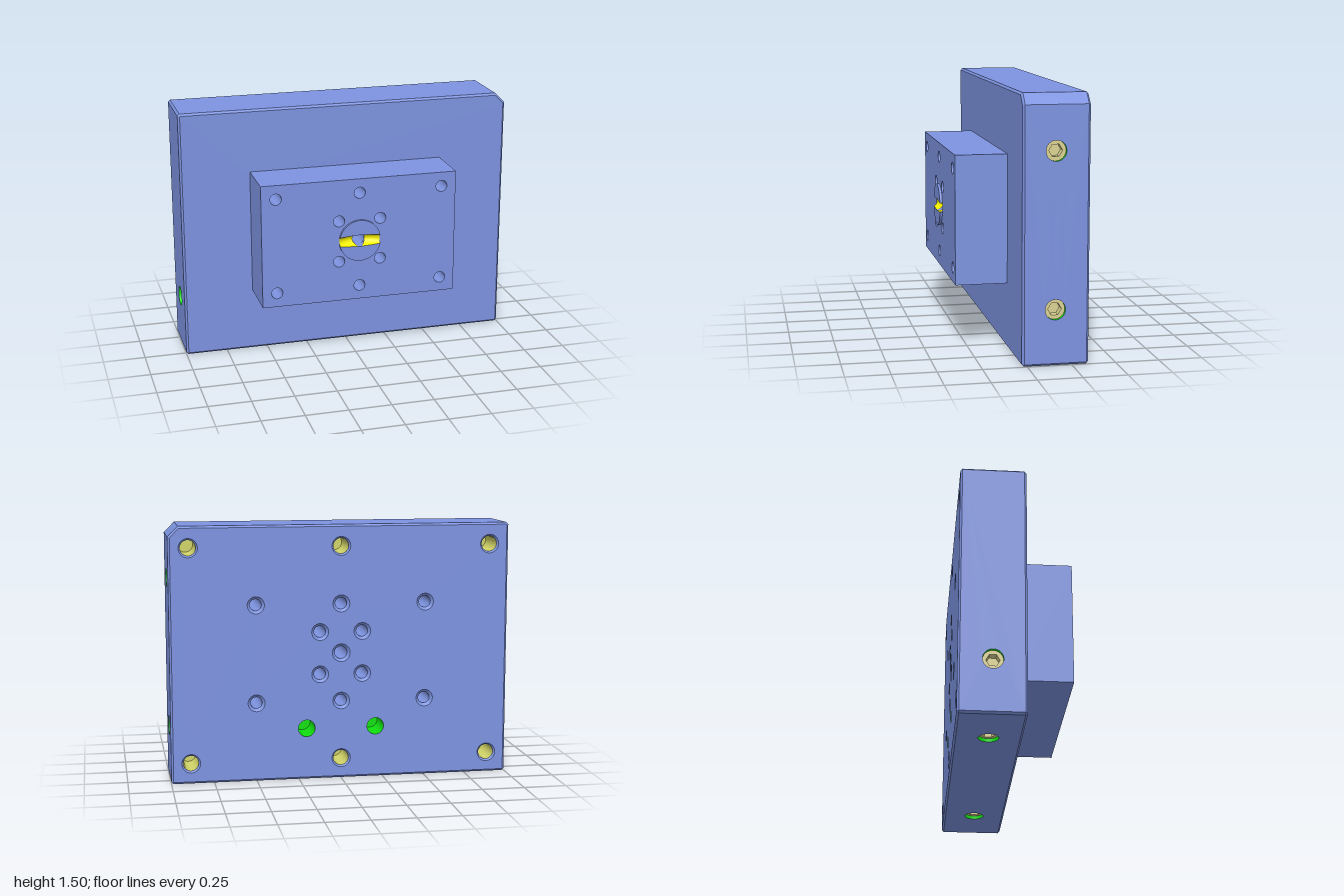
import * as THREE from 'three';
import { ParametricGeometry } from 'three/addons/geometries/ParametricGeometry.js';

const mat = (color, flatShading = false) =>
  new THREE.MeshStandardMaterial({ color, flatShading, side: THREE.DoubleSide });
const blue = mat(0x7d93e0), green = mat(0x10e010), yellow = mat(0xf5f000);
const olive = mat(0xd2d468), brass = mat(0xdcd392);

const BACK = -0.345, FRONT = 0.03, FACE = 0.33, TOP = 0.345; // z levels
const BEVEL = 0.012, CY = 0.75, MIDZ = -0.155;
const BORE = 0.034, CENTRE = 0.037, PLUG = 0.057;

const mesh = (name, geometry, material) => {
  const m = new THREE.Mesh(geometry, material);
  m.name = name;
  return m;
};
const circle = (x, y, r) => new THREE.Path().absarc(x, y, r, 0, Math.PI * 2, true);

// Cylinder wall along z, r0 at z0 and r1 at z1
function tube(name, x, y, z0, z1, r0, r1, material) {
  const g = new THREE.CylinderGeometry(r1, r0, z1 - z0, 32, 1, true).rotateX(Math.PI / 2);
  g.translate(x, y, (z0 + z1) / 2);
  return mesh(name, g, material);
}
function disc(name, x, y, z, r, material) {
  return mesh(name, new THREE.CircleGeometry(r, 32).translate(x, y, z), material);
}

// Plate outline, counterclockwise, with one large corner chamfer
function outline(inset) {
  const w = 1 - inset, b = inset, t = 1.5 - inset;
  const s = BEVEL - 0.586 * inset, c = 0.06 - 0.586 * inset;
  return [[-w + s, b], [w - s, b], [w, b + s], [w, t - c], [w - c, t], [-w + s, t], [-w, t - s], [-w, b + s]]
    .map(([x, y]) => new THREE.Vector2(x, y));
}

// Strip of quads joining two outlines
function strip(p, z0, q, z1) {
  const v = [];
  p.forEach((a, i) => {
    const j = (i + 1) % p.length, b = p[j], c = q[j], d = q[i];
    v.push(a.x, a.y, z0, b.x, b.y, z0, c.x, c.y, z1, a.x, a.y, z0, c.x, c.y, z1, d.x, d.y, z1);
  });
  const g = new THREE.BufferGeometry();
  g.setAttribute('position', new THREE.Float32BufferAttribute(v, 3));
  g.computeVertexNormals();
  return g;
}

// Groove half width, and its edge widened by the centre bore
const half = (x) => 0.034 - 0.5 * x * x;
const END = 0.122;
function grooveEdge() {
  return Array.from({ length: 61 }, (_, i) => {
    const x = END * (i / 30 - 1);
    return new THREE.Vector2(x, Math.max(half(x), Math.sqrt(Math.max(0, CENTRE ** 2 - x * x))));
  });
}

// Recessed plug with a hex socket, facing +z at its local origin
function makePlug() {
  const g = new THREE.Group();
  g.name = 'plug';
  const head = new THREE.Shape().absarc(0, 0, PLUG, 0, Math.PI * 2);
  const hex = Array.from({ length: 6 }, (_, i) => {
    const a = -i * Math.PI / 3 + Math.PI / 6;
    return new THREE.Vector2(0.038 * Math.cos(a), 0.038 * Math.sin(a));
  });
  head.holes.push(new THREE.Path(hex));
  g.add(
    tube('plugBore', 0, 0, -0.1, 0, PLUG, PLUG, green),
    mesh('plugHead', new THREE.ExtrudeGeometry(head, { depth: 0.05, bevelEnabled: false, curveSegments: 24 })
      .translate(0, 0, -0.07), brass),
    disc('plugSocketFloor', 0, 0, -0.068, PLUG * 0.98, brass));
  return g;
}

export function createModel() {
  const model = new THREE.Group();
  model.name = 'mouldPlate';

  // Hole layouts
  const through = [];
  for (const x of [-0.5, 0, 0.5]) for (const y of [0.465, 1.04]) through.push([x, y]);
  for (const x of [-0.125, 0.125]) for (const y of [-0.125, 0.125]) through.push([x, CY + y]);
  const mounts = [];
  for (const x of [-0.885, 0, 0.885]) for (const y of [0.12, 1.375]) mounts.push([x, y]);
  const ports = [[-0.205, 0.305], [0.205, 0.305]];

  // Plate front and back faces
  const plate = new THREE.Group();
  plate.name = 'plate';
  model.add(plate);
  const frontShape = new THREE.Shape(outline(BEVEL));
  const backShape = new THREE.Shape(outline(BEVEL));
  for (const [x, y] of through) {
    frontShape.holes.push(circle(x, y, BORE));
    backShape.holes.push(circle(x, y, 0.05));
  }
  frontShape.holes.push(circle(0, CY, CENTRE));
  backShape.holes.push(circle(0, CY, 0.053));
  for (const [x, y] of mounts) backShape.holes.push(circle(x, y, 0.055));
  for (const [x, y] of ports) backShape.holes.push(circle(x, y, 0.05));
  plate.add(
    mesh('plateFront', new THREE.ShapeGeometry(frontShape, 16).translate(0, 0, FRONT), blue),
    mesh('plateBack', new THREE.ShapeGeometry(backShape, 16).translate(0, 0, BACK), blue));

  // Bevelled rims
  const outer = outline(0), inner = outline(BEVEL);
  plate.add(
    mesh('backBevel', strip(inner, BACK, outer, BACK + BEVEL), blue),
    mesh('frontBevel', strip(outer, FRONT - BEVEL, inner, FRONT), blue));

  // Edge panels, with plugs on the bottom (0) and both sides (2, 6)
  const plugSpots = {
    0: [[-0.655, 0], [0.655, 0]],
    2: [[1, 0.315], [1, 1.19]],
    6: [[-1, 0.315]],
  };
  outer.forEach((a, i) => {
    const b = outer[(i + 1) % outer.length];
    const d = b.clone().sub(a), len = d.length();
    d.normalize();
    const basis = new THREE.Matrix4().makeBasis(
      new THREE.Vector3(d.x, d.y, 0), new THREE.Vector3(0, 0, 1), new THREE.Vector3(d.y, -d.x, 0));
    const z0 = BACK + BEVEL, z1 = FRONT - BEVEL;
    const panel = new THREE.Shape([[0, z0], [len, z0], [len, z1], [0, z1]].map((p) => new THREE.Vector2(...p)));
    for (const [x, y] of plugSpots[i] || []) {
      panel.holes.push(circle((x - a.x) * d.x + (y - a.y) * d.y, MIDZ, PLUG));
      const plug = makePlug();
      plug.quaternion.setFromRotationMatrix(basis);
      plug.position.set(x, y, MIDZ);
      model.add(plug);
    }
    const side = new THREE.ShapeGeometry(panel, 16).applyMatrix4(basis).translate(a.x, a.y, 0);
    plate.add(mesh('plateEdge', side, blue));
  });

  // Bores: countersunk through holes, blind mounting holes, coolant ports
  const bores = new THREE.Group();
  bores.name = 'bores';
  model.add(bores);
  const sink = BACK + 0.015;
  for (const [x, y] of through) {
    bores.add(
      tube('countersink', x, y, BACK, sink, 0.05, BORE, blue),
      tube('throughBore', x, y, sink, FRONT, BORE, BORE, blue));
  }
  bores.add(
    tube('centreCountersink', 0, CY, BACK, sink, 0.053, CENTRE, blue),
    tube('centreBore', 0, CY, sink, 0.297, CENTRE, CENTRE, blue));
  for (const [x, y] of mounts) {
    bores.add(
      tube('mountCountersink', x, y, BACK, BACK + 0.012, 0.055, 0.045, blue),
      tube('mountBore', x, y, BACK + 0.012, -0.1, 0.045, 0.045, olive),
      disc('mountBoreEnd', x, y, -0.1, 0.045, olive));
  }
  for (const [x, y] of ports) {
    bores.add(
      tube('coolantPort', x, y, BACK, MIDZ, 0.05, 0.05, green),
      disc('coolantPortEnd', x, y, MIDZ, 0.05, green));
  }

  // Raised block with its holes and the groove cut
  const edge = grooveEdge();
  const lower = edge.map((p) => new THREE.Vector2(p.x, -p.y)).reverse();
  const blockShape = new THREE.Shape([[-0.587, 0.38], [0.587, 0.38], [0.587, 1.125], [-0.587, 1.125]]
    .map((p) => new THREE.Vector2(...p)));
  for (const [x, y] of through) blockShape.holes.push(circle(x, y, BORE));
  blockShape.holes.push(new THREE.Path([...edge, ...lower].map((p) => new THREE.Vector2(p.x, p.y + CY))));
  model.add(mesh('raisedBlock', new THREE.ExtrudeGeometry(blockShape,
    { depth: FACE - FRONT, bevelEnabled: false, curveSegments: 16 }).translate(0, 0, FRONT), blue));

  // Round boss in two halves, split by the groove
  const start = Math.atan2(half(END), END);
  const arc = Array.from({ length: 33 }, (_, i) => {
    const a = start + (Math.PI - 2 * start) * i / 32;
    return new THREE.Vector2(0.125 * Math.cos(a), 0.125 * Math.sin(a));
  });
  for (const turn of [0, Math.PI]) {
    const g = new THREE.ExtrudeGeometry(new THREE.Shape([...arc, ...edge]),
      { depth: TOP - FACE, bevelEnabled: false });
    model.add(mesh('bossHalf', g.rotateZ(turn).translate(0, CY, FACE), blue));
  }

  // Curved groove floor on each side of the centre bore
  for (const s of [-1, 1]) {
    const g = new ParametricGeometry((u, v, p) => {
      const a = Math.PI * v;
      const y0 = 0.034 * Math.cos(a);
      const x0 = Math.sqrt(CENTRE ** 2 - y0 * y0);
      const x = x0 + (END - x0) * u;
      p.set(s * x, CY + half(x) * Math.cos(a), TOP - (0.05 - 2 * x * x) * Math.sin(a));
    }, 16, 20);
    model.add(mesh('grooveFloor', g, yellow));
  }

  return model;
}
